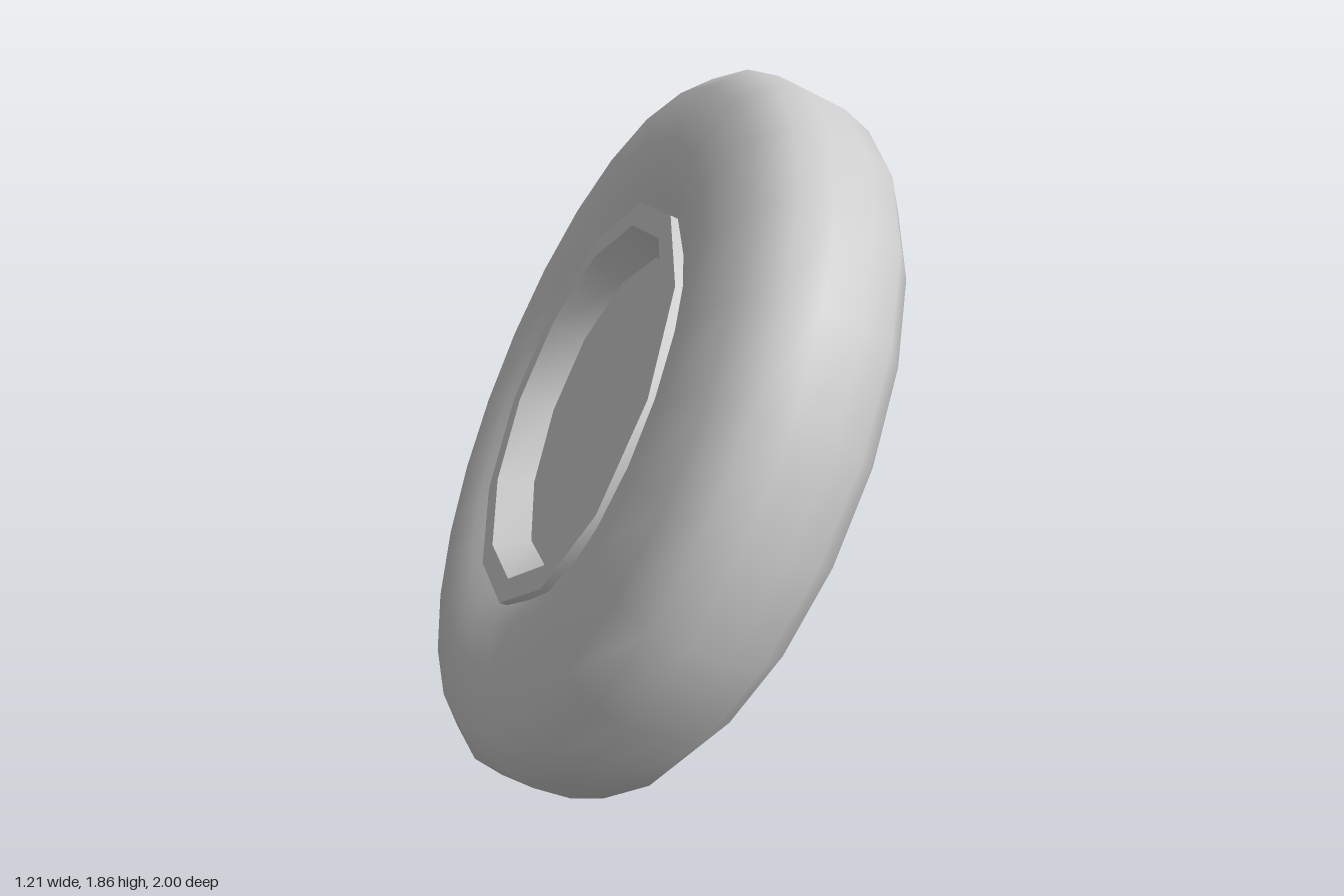
import * as THREE from 'three';
import { toCreasedNormals } from 'three/addons/utils/BufferGeometryUtils.js';

// Revolve [radius, axial position] pairs around the local y axis
function lathe(profile, segments) {
  return new THREE.LatheGeometry(profile.map(([r, y]) => new THREE.Vector2(r, y)), segments);
}

export function createModel() {
  const group = new THREE.Group();
  const grey = new THREE.MeshStandardMaterial({ color: 0xcccccc });
  grey.name = 'grey';

  // Wheel built along its axle, then leaned over
  const wheel = new THREE.Group();
  wheel.name = 'wheel';
  wheel.position.y = 0.927;
  wheel.rotation.z = THREE.MathUtils.degToRad(-117.6);
  group.add(wheel);

  const add = (name, geometry) => {
    const mesh = new THREE.Mesh(geometry, grey);
    mesh.name = name;
    wheel.add(mesh);
  };

  // Rounded tyre: one half of the section, mirrored
  const half = [[0.998, 0.052], [0.977, 0.137], [0.9, 0.21], [0.74, 0.244], [0.63, 0.22], [0.53, 0.175]];
  const section = [...half.map(([r, y]) => [r, -y]).reverse(), ...half];
  add('tyre', lathe(section, 24));

  // Twelve-sided rim with a recessed disc on each side
  const rim = [
    [0, -0.12], [0.45, -0.12], [0.505, -0.215], [0.572, -0.215], [0.572, -0.16],
    [0.572, 0.16], [0.572, 0.206], [0.505, 0.206], [0.45, 0.06], [0, 0.06],
  ];
  add('rim', toCreasedNormals(lathe(rim, 12), 0.7));

  // Hub cap on the outer face only
  const hub = [[0.176, 0.05], [0.176, 0.07], [0.162, 0.12], [0.137, 0.148], [0, 0.148]];
  add('hubCap', toCreasedNormals(lathe(hub, 12), 0.7));

  return group;
}
